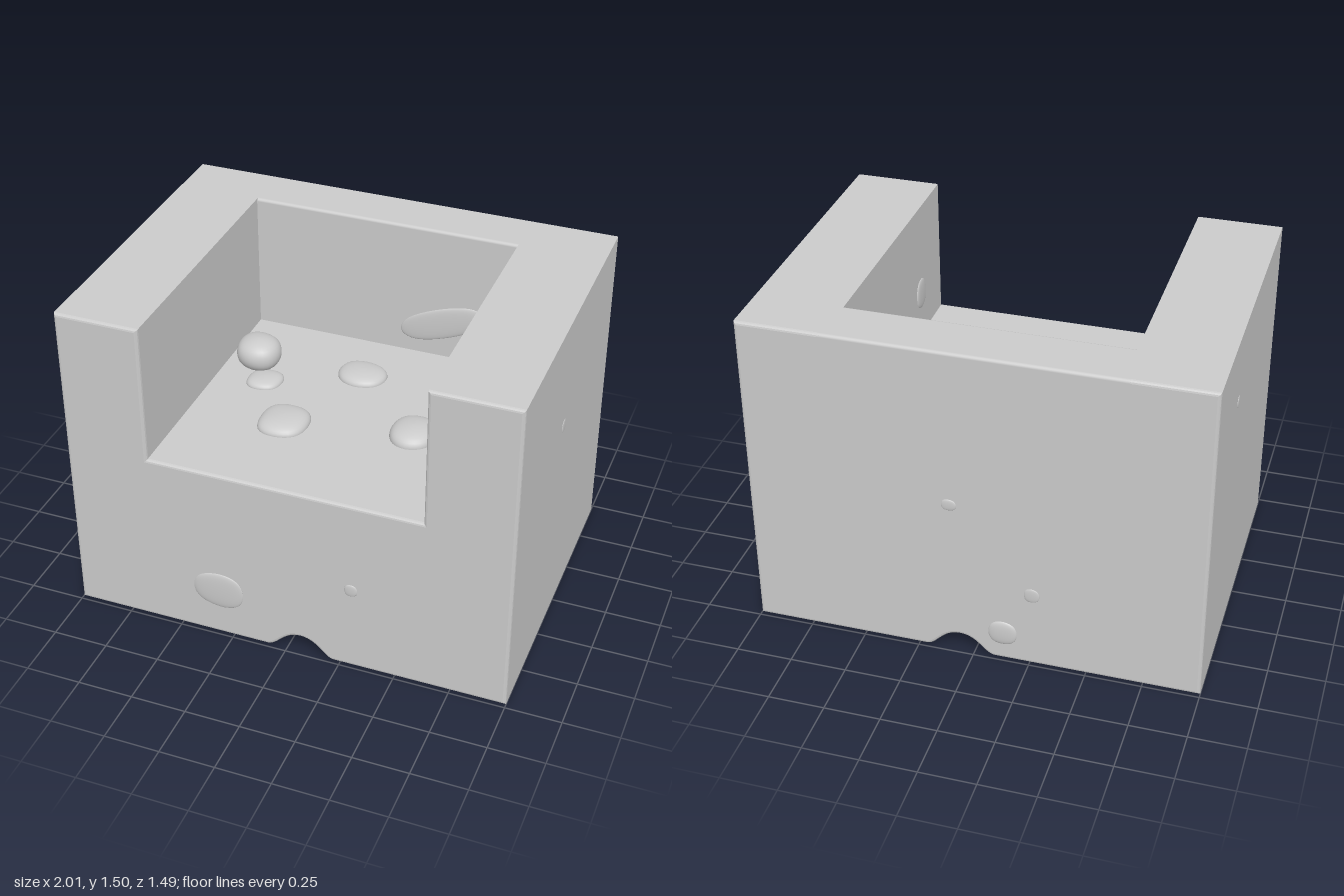
import * as THREE from 'three';
import { RoundedBoxGeometry } from 'three/addons/geometries/RoundedBoxGeometry.js';

const W = 1, H = 1.5, D = 0.735;            // half width, height, half depth
const XL = -0.62, XR = 0.612, FLOOR = 0.86; // recess sides and floor
const BACK = -0.49;                         // inner face of the back wall
const BEVEL = 0.014;

const material = new THREE.MeshStandardMaterial({ color: 0xcccccc });

function add(group, name, geometry, x = 0, y = 0, z = 0) {
  const mesh = new THREE.Mesh(geometry, material);
  mesh.name = name;
  mesh.position.set(x, y, z);
  group.add(mesh);
  return mesh;
}

// Slightly irregular rounded stone with half sizes rx, ry, rz
function stone(rx, ry, rz, seed) {
  const geo = new THREE.SphereGeometry(1, 32, 20);
  const p = geo.attributes.position;
  for (let i = 0; i < p.count; i++) {
    const x = p.getX(i), y = p.getY(i), z = p.getZ(i);
    const k = 1 + 0.05 * Math.sin(2.2 * x + seed) * Math.cos(2 * z - seed)
      + 0.04 * Math.sin(3 * x * z + seed * 2);
    // mild squaring gives the stones a fuller outline
    const m = Math.pow(x ** 4 + y ** 4 + z ** 4, -0.07);
    p.setXYZ(i, x * k * m * rx * 0.96, y * k * m * ry * 0.96, z * k * m * rz * 0.96);
  }
  geo.computeVertexNormals();
  return geo;
}

export function createModel() {
  const model = new THREE.Group();
  model.name = 'recessedBlock';

  // Body: U-shaped front outline with a drain channel below, run front to back
  const s = new THREE.Shape();
  s.moveTo(-W, 0);
  s.lineTo(-0.09, 0);
  s.bezierCurveTo(-0.04, 0.005, -0.015, 0.088, 0.065, 0.088);
  s.bezierCurveTo(0.145, 0.088, 0.17, 0.005, 0.215, 0);
  s.lineTo(W, 0);
  s.lineTo(W, H);
  s.lineTo(XR, H);
  s.lineTo(XR, FLOOR);
  s.lineTo(XL, FLOOR);
  s.lineTo(XL, H);
  s.lineTo(-W, H);
  s.closePath();
  const body = new THREE.ExtrudeGeometry(s, {
    depth: 2 * (D - BEVEL), bevelEnabled: true, bevelThickness: BEVEL,
    bevelSize: BEVEL, bevelOffset: -BEVEL, bevelSegments: 3, curveSegments: 14,
  });
  add(model, 'body', body, 0, 0, -D + BEVEL);

  // Back wall closing the recess, its ends and foot sunk into the body
  const sink = 0.04, bottom = FLOOR - sink;
  add(model, 'backWall',
    new RoundedBoxGeometry(XR - XL + 2 * sink, H - bottom, BACK + D, 3, BEVEL),
    (XL + XR) / 2, (H + bottom) / 2, (BACK - D) / 2);

  // Loose stone, and stones half buried in the recess floor: x, y, z, half sizes
  [
    [-0.47, 0.935, -0.12, 0.105, 0.072, 0.105],
    [-0.395, FLOOR, -0.01, 0.085, 0.033, 0.085],
    [0.0, FLOOR, -0.205, 0.115, 0.037, 0.1],
    [-0.19, FLOOR, 0.265, 0.118, 0.048, 0.127],
    [0.37, FLOOR, 0.15, 0.108, 0.052, 0.12],
  ].forEach(([x, y, z, rx, ry, rz], i) =>
    add(model, i ? 'floorStone' : 'looseStone', stone(rx, ry, rz, i * 1.7 + 0.6), x, y, z));

  // Shallow lumps showing through the walls: x, y, z, half sizes
  [
    [-0.32, 0.24, D, 0.12, 0.09, 0.012],
    [0.3, 0.42, D, 0.03, 0.03, 0.006],
    [0.1, 0.77, -D, 0.035, 0.03, 0.006],
    [-0.26, 0.37, -D, 0.035, 0.035, 0.006],
    [-0.13, 0.14, -D, 0.065, 0.06, 0.013],
    [XR, 1.07, 0.44, 0.01, 0.08, 0.06],
    [W, 1.0, 0.06, 0.004, 0.03, 0.03],
    [-W, 1.18, -0.26, 0.004, 0.025, 0.025],
  ].forEach(([x, y, z, rx, ry, rz], i) =>
    add(model, 'wallLump', stone(rx, ry, rz, i + 0.3), x, y, z));

  // Long slanted swelling on the inner back wall
  add(model, 'backSwelling', stone(0.22, 0.08, 0.012, 2), 0.28, 1.03, BACK).rotation.z = 0.35;

  return model;
}
